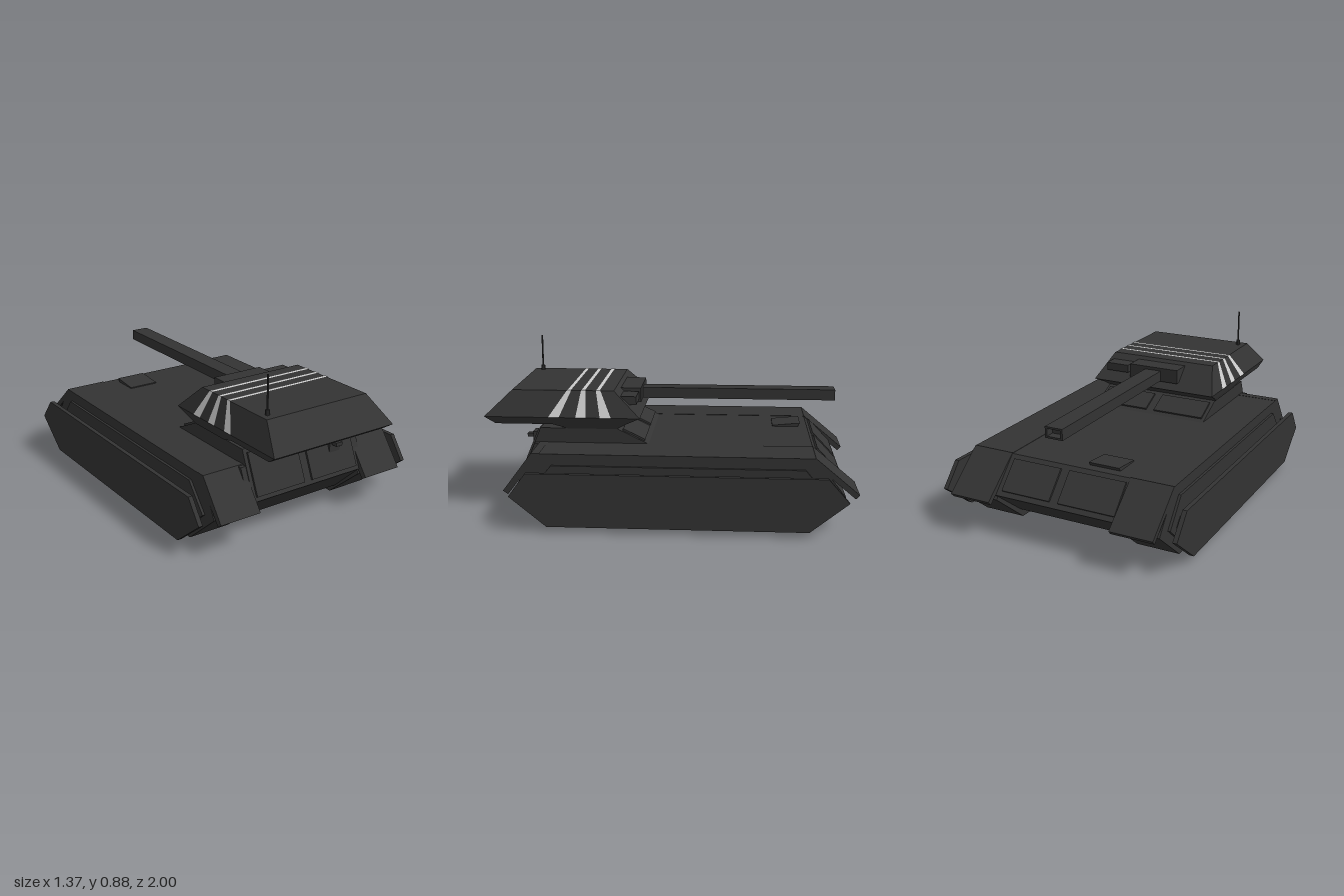
import * as THREE from 'three';

const dark = new THREE.MeshStandardMaterial({ color: 0x333333, flatShading: true });
const pale = new THREE.MeshStandardMaterial({ color: 0xcccccc, flatShading: true, side: THREE.DoubleSide });

export function createModel() {
  const model = new THREE.Group();

  const add = (name, geometry, material = dark) => {
    const mesh = new THREE.Mesh(geometry, material);
    mesh.name = name;
    model.add(mesh);
    return mesh;
  };

  // Box given by its limits on each axis
  const box = (name, x0, x1, y0, y1, z0, z1) =>
    add(name, new THREE.BoxGeometry(x1 - x0, y1 - y0, z1 - z0))
      .position.set((x0 + x1) / 2, (y0 + y1) / 2, (z0 + z1) / 2);

  // Side profile of [z, y] points, extruded from x0 to x1
  const prism = (name, profile, x0, x1) => {
    const shape = new THREE.Shape(profile.map(([z, y]) => new THREE.Vector2(z, y)));
    const g = new THREE.ExtrudeGeometry(shape, { depth: x1 - x0, bevelEnabled: false });
    return add(name, g.rotateY(-Math.PI / 2).translate(x1, 0, 0));
  };

  // Same prism on both sides
  const pair = (name, profile, x0, x1) => {
    prism(name + 'Left', profile, x0, x1);
    prism(name + 'Right', profile, -x1, -x0);
  };

  // Thin slab centred on the sloping line from p to q, both [z, y]
  const slab = (name, x0, x1, p, q, t) => {
    const dz = q[0] - p[0], dy = q[1] - p[1];
    const m = add(name, new THREE.BoxGeometry(x1 - x0, t, Math.hypot(dz, dy)));
    m.position.set((x0 + x1) / 2, (p[1] + q[1]) / 2, (p[0] + q[0]) / 2);
    m.rotation.x = -Math.atan2(dy, dz);
  };

  // Track housings, running gear and outer skirts
  pair('trackHousing', [[0.8, 0.19], [0.58, 0], [-0.7, 0], [-0.93, 0.19], [-0.77, 0.395], [0.7, 0.395]], 0.35, 0.588);
  pair('innerSkirt', [[0.72, 0.19], [0.58, 0.07], [-0.7, 0.07], [-0.84, 0.19], [-0.72, 0.335], [0.6, 0.335]], 0.58, 0.602);
  pair('trackCore', [[0.65, 0.18], [0.58, 0.115], [-0.68, 0.115], [-0.77, 0.18], [-0.73, 0.225], [0.62, 0.225]], 0.6, 0.665);
  pair('outerSkirt', [[0.81, 0.19], [0.615, 0.03], [-0.74, 0.03], [-0.94, 0.19], [-0.83, 0.315], [0.72, 0.315]], 0.66, 0.684);

  // Fenders sloping down past both ends
  pair('frontFender', [[0.86, 0.19], [0.705, 0.397], [0.66, 0.397], [0.833, 0.172]], 0.35, 0.588);
  pair('rearFender', [[-1.0, 0.205], [-0.98, 0.183], [-0.74, 0.385], [-0.77, 0.397]], 0.35, 0.588);

  // Centre hull and the raised deck under the turret
  prism('centreHull', [[0.8, 0.22], [0.62, 0.05], [-0.72, 0.05], [-0.935, 0.22], [-0.77, 0.393], [0.73, 0.393]], -0.38, 0.38);
  prism('raisedDeck', [[0.805, 0.222], [0.7, 0.475], [0.28, 0.475], [0.11, 0.393], [0.11, 0.3], [0.7, 0.222]], -0.35, 0.35);

  // Sloping access panels, in pairs
  for (const [x0, x1] of [[0.025, 0.33], [-0.33, -0.025]]) {
    slab('frontPanel', x0, x1, [0.797, 0.243], [0.708, 0.455], 0.022);
    slab('deckPanel', x0, x1, [0.135, 0.405], [0.255, 0.463], 0.02);
    slab('rearPanel', x0 + 0.01 * Math.sign(x0), x1 - 0.01 * Math.sign(x1), [-0.915, 0.24], [-0.79, 0.373], 0.022);
  }

  // Small box on the front plate and hatch on the rear deck
  box('frontBox', 0.17, 0.24, 0.33, 0.425, 0.7, 0.765);
  box('frontBoxHandle', 0.185, 0.225, 0.39, 0.41, 0.75, 0.8);
  prism('deckHatch', [[-0.57, 0.39], [-0.715, 0.39], [-0.73, 0.413], [-0.715, 0.413], [-0.57, 0.399]].reverse(), -0.265, -0.09);

  // Turret lofted through rectangular rings: [y, half width, rear-facing z, front z]
  const rings = [
    [0.475, 0.355, 0.28, 0.55], [0.5, 0.367, 0.24, 0.63], [0.5, 0.367, 0.24, 0.94],
    [0.54, 0.382, 0.155, 1.0], [0.677, 0.32, 0.3, 0.855],
  ].map(([y, x, z0, z1]) => [[x, y, z0], [x, y, z1], [-x, y, z1], [-x, y, z0]]);
  const verts = [];
  const tri = (a, b, c) => verts.push(...a, ...b, ...c);
  for (let r = 0; r < rings.length - 1; r++) {
    for (let i = 0; i < 4; i++) {
      const j = (i + 1) % 4, lo = rings[r], hi = rings[r + 1];
      tri(lo[i], hi[i], lo[j]);
      tri(lo[j], hi[i], hi[j]);
    }
  }
  const [a, b, c, d] = rings[0];
  tri(a, b, c);
  tri(a, c, d);
  const [e, f, g, h] = rings[rings.length - 1];
  tri(e, g, f);
  tri(e, h, g);
  const surface = (points) => {
    const geo = new THREE.BufferGeometry();
    geo.setAttribute('position', new THREE.Float32BufferAttribute(points, 3));
    geo.computeVertexNormals();
    return geo;
  };
  add('turret', surface(verts));

  // Painted bands over the turret: z limits on the roof, then at the side edge
  for (const [t0, t1, s0, s1] of [[0.373, 0.397, 0.31, 0.37], [0.453, 0.477, 0.447, 0.502], [0.53, 0.553, 0.592, 0.65]]) {
    const rows = [[-0.385, 0.541, s0, s1], [-0.322, 0.68, t0, t1], [0.322, 0.68, t0, t1], [0.385, 0.541, s0, s1]];
    const p = [];
    for (let i = 0; i < 3; i++) {
      const [x, y, z0, z1] = rows[i], [X, Y, Z0, Z1] = rows[i + 1];
      p.push(x, y, z0, x, y, z1, X, Y, Z0, X, Y, Z0, x, y, z1, X, Y, Z1);
    }
    add('turretStripe', surface(p), pale);
  }

  // Gun mount, sight and square hollow barrel
  box('gunMount', -0.155, 0.15, 0.58, 0.66, 0.17, 0.29);
  box('gunSight', 0.17, 0.31, 0.6, 0.645, 0.18, 0.27);
  box('barrel', -0.05, 0.05, 0.583, 0.643, -0.86, 0.25);
  for (const s of [-1, 1]) {
    box('muzzleSide', s * 0.044 - 0.006, s * 0.044 + 0.006, 0.583, 0.643, -0.91, -0.86);
    box('muzzlePlate', -0.05, 0.05, 0.608 + s * 0.025 - 0.0, 0.618 + s * 0.025, -0.91, -0.86);
  }

  // Antenna
  add('antennaBase', new THREE.CylinderGeometry(0.012, 0.012, 0.035, 8)).position.set(-0.278, 0.687, 0.805);
  add('antenna', new THREE.CylinderGeometry(0.005, 0.005, 0.2, 8)).position.set(-0.278, 0.785, 0.805);

  return model;
}
